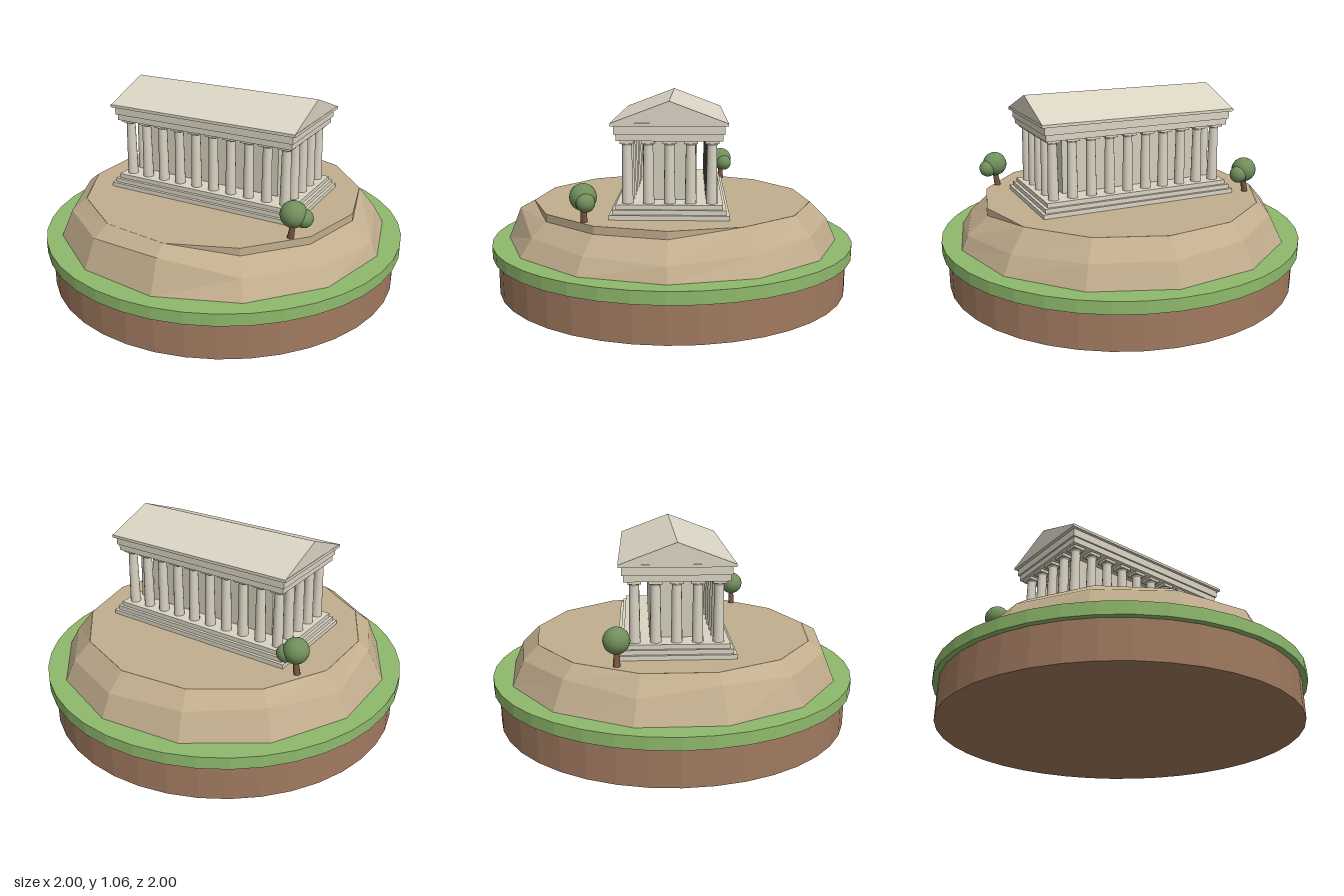
import * as THREE from 'three';

const material = (name, color, flatShading = false) => {
  const m = new THREE.MeshStandardMaterial({ color, flatShading });
  m.name = name;
  return m;
};

export function createModel() {
  const earth = material('earth', 0xa17a60, true);
  const grass = material('grass', 0x8fb96c, true);
  const rock = material('rock', 0xc2ae8e, true);
  const marble = material('marble', 0xdad4c3);
  const wall = material('wall', 0xd4ceba);
  const bark = material('bark', 0x7a5640);
  const leaf = material('leaf', 0x718f5c);

  const root = new THREE.Group();
  root.name = 'hilltopTemple';
  const add = (parent, name, geometry, mat, x = 0, y = 0, z = 0) => {
    const mesh = new THREE.Mesh(geometry, mat);
    mesh.name = name;
    mesh.position.set(x, y, z);
    parent.add(mesh);
    return mesh;
  };
  // Box given by half extents and its bottom and top heights
  const slab = (parent, name, hx, hz, y0, y1, mat = marble) =>
    add(parent, name, new THREE.BoxGeometry(hx * 2, y1 - y0, hz * 2), mat, 0, (y0 + y1) / 2, 0);

  // Round base
  add(root, 'earthBase', new THREE.CylinderGeometry(0.97, 0.97, 0.2, 40), earth, 0, 0.1, 0);
  add(root, 'grassRim', new THREE.CylinderGeometry(1, 1, 0.065, 40), grass, 0, 0.2325, 0);

  // Rocky hill: 13 sides, with an uneven shoulder between foot and crown
  const sides = 13, top = 0.475;
  const shoulderR = [0.88, 0.86, 0.85, 0.845, 0.85, 0.85, 0.825, 0.85, 0.84, 0.85, 0.86, 0.86, 0.86];
  const shoulderY = [0.34, 0.35, 0.36, 0.435, 0.42, 0.41, 0.43, 0.38, 0.41, 0.4, 0.385, 0.38, 0.36];
  const crownY = i => (i < 3 ? 0.435 : top);
  const rings = [
    () => [0.915, 0.262],
    i => [shoulderR[i], shoulderY[i]],
    i => [0.768, crownY(i)],
  ];
  const positions = [], index = [];
  rings.forEach((ring, r) => {
    for (let i = 0; i < sides; i++) {
      const a = (i / sides) * Math.PI * 2;
      const [radius, y] = ring(i);
      positions.push(radius * Math.cos(a), y, radius * Math.sin(a));
      if (r === 0) continue;
      const j = (i + 1) % sides, lo = (r - 1) * sides, hi = r * sides;
      index.push(lo + i, hi + i, lo + j, lo + j, hi + i, hi + j);
    }
  });
  let hill = new THREE.BufferGeometry();
  hill.setAttribute('position', new THREE.Float32BufferAttribute(positions, 3));
  hill.setIndex(index);
  hill = hill.toNonIndexed();
  hill.computeVertexNormals();
  add(root, 'hillSlope', hill, rock);
  add(root, 'plateau', new THREE.CylinderGeometry(0.767, 0.767, 0.045, sides, 1, false, Math.PI / 2),
    rock, 0, top - 0.0225, 0);

  // Temple steps, inner chamber and beams
  const temple = new THREE.Group();
  temple.name = 'temple';
  root.add(temple);
  for (let i = 0; i < 3; i++) {
    slab(temple, 'step', 0.557 - i * 0.016, 0.298 - i * 0.016, 0.475 + i * 0.0235, 0.4985 + i * 0.0235);
  }
  slab(temple, 'innerChamber', 0.395, 0.135, 0.545, 0.862, wall);
  slab(temple, 'lowerBeam', 0.522, 0.262, 0.862, 0.895);
  slab(temple, 'upperBeam', 0.531, 0.271, 0.895, 0.937);
  slab(temple, 'cornice', 0.548, 0.287, 0.937, 0.952);

  // Gabled roof, a triangle extruded along x
  const gable = new THREE.Shape([
    new THREE.Vector2(-0.283, 0.952), new THREE.Vector2(0.283, 0.952), new THREE.Vector2(0, 1.058),
  ]);
  const roof = new THREE.ExtrudeGeometry(gable, { depth: 1.092, bevelEnabled: false });
  roof.translate(0, 0, -0.546);
  roof.rotateY(Math.PI / 2);
  add(temple, 'roof', roof, marble);

  // Ring of columns, ten by five
  const shaft = new THREE.CylinderGeometry(0.024, 0.029, 0.3, 14);
  const capital = new THREE.BoxGeometry(0.068, 0.015, 0.068);
  const collar = new THREE.CylinderGeometry(0.031, 0.024, 0.012, 14);
  for (let i = 0; i < 10; i++) {
    for (let j = 0; j < 5; j++) {
      if (i > 0 && i < 9 && j > 0 && j < 4) continue;
      const column = new THREE.Group();
      column.name = 'column';
      column.position.set(-0.473 + i * 0.1051, 0, -0.21 + j * 0.105);
      add(column, 'shaft', shaft, marble, 0, 0.695, 0);
      add(column, 'collar', collar, marble, 0, 0.842, 0);
      add(column, 'capital', capital, marble, 0, 0.8545, 0);
      temple.add(column);
    }
  }

  // Two small trees with leaning trunks
  for (const [x, z, dx, dz] of [[-0.627, -0.297, 0.047, -0.018], [0.608, 0.413, 0.047, -0.018]]) {
    const tree = new THREE.Group();
    tree.name = 'tree';
    tree.position.set(x, top, z);
    const trunk = add(tree, 'trunk', new THREE.CylinderGeometry(0.013, 0.018, 0.1, 8), bark, -0.004, 0.047, 0);
    trunk.rotation.z = -0.15;
    add(tree, 'crown', new THREE.SphereGeometry(0.067, 20, 14), leaf, 0, 0.127, 0);
    add(tree, 'sideCrown', new THREE.SphereGeometry(0.047, 18, 12), leaf, dx, 0.108, dz);
    root.add(tree);
  }
  return root;
}
